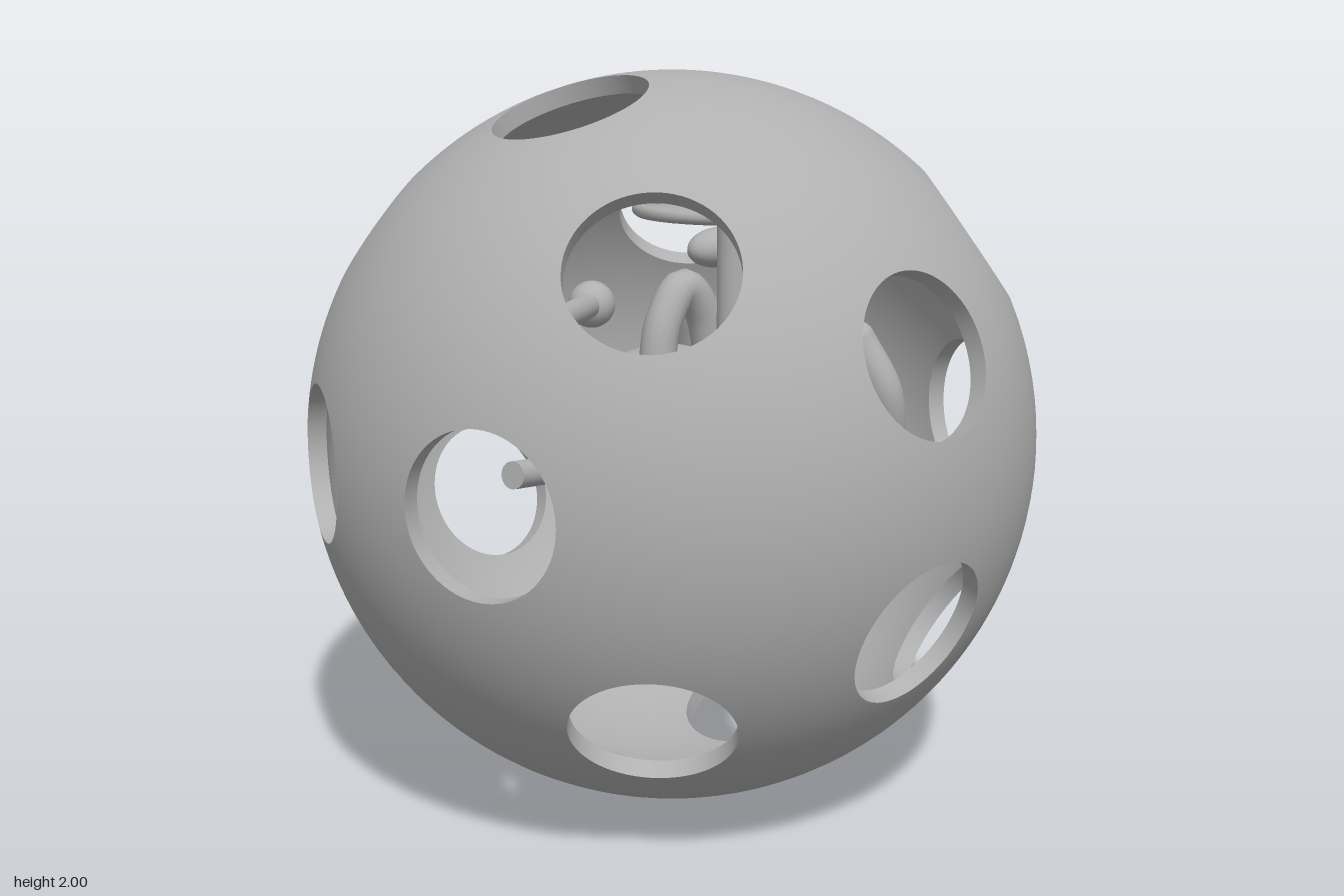
import * as THREE from 'three';
import { mergeGeometries } from 'three/addons/utils/BufferGeometryUtils.js';

const R = 1, RI = 0.95, HOLE = 0.21, COLS = 72;
const V = (x, y, z) => new THREE.Vector3(x, y, z);
const grey = new THREE.MeshStandardMaterial({ color: 0xb0b0b0 });
grey.name = 'plain grey';

// Surface grid from a rule giving point and normal
function grid(rule, rows, flip) {
  const pos = [], nor = [], idx = [];
  for (let i = 0; i <= rows; i++) for (let j = 0; j <= COLS; j++) {
    const [p, n] = rule(i / rows, (j / COLS) * Math.PI * 2);
    pos.push(p.x, p.y, p.z);
    nor.push(n.x, n.y, n.z);
    if (i === rows || j === COLS) continue;
    const a = i * (COLS + 1) + j, b = a + COLS + 1;
    if (flip) idx.push(a, b + 1, b, a, a + 1, b + 1);
    else idx.push(a, b, b + 1, a, b + 1, a + 1);
  }
  const g = new THREE.BufferGeometry();
  g.setAttribute('position', new THREE.Float32BufferAttribute(pos, 3));
  g.setAttribute('normal', new THREE.Float32BufferAttribute(nor, 3));
  g.setIndex(idx);
  return g;
}

// Hollow ball: 20 spherical triangles, each with a round hole in its middle
function shellGeometry() {
  const phi = (1 + Math.sqrt(5)) / 2, s = [-1, 1], holes = [], corners = [];
  for (const a of s) for (const b of s) {
    holes.push(V(0, a / phi, b * phi), V(a / phi, b * phi, 0), V(a * phi, 0, b / phi));
    corners.push(V(a, 0, b * phi), V(0, a * phi, b), V(a * phi, b, 0));
    for (const c of s) holes.push(V(a, b, c));
  }
  const parts = [];
  const rOut = HOLE / Math.sqrt(R * R - HOLE * HOLE);
  const rIn = HOLE / Math.sqrt(RI * RI - HOLE * HOLE);
  const third = (Math.PI * 2) / 3;
  for (const h of holes) {
    const n = h.clone().normalize();
    const near = corners.slice().sort((p, q) => q.dot(n) - p.dot(n))[0];
    const u = near.clone().addScaledVector(n, -near.dot(n)).normalize();
    const v = n.clone().cross(u);
    const side = (t) => u.clone().multiplyScalar(Math.cos(t)).addScaledVector(v, Math.sin(t));
    const dir = (rho, t) => n.clone().addScaledVector(side(t), rho).normalize();
    const edge = (t) => 0.381966 / Math.cos((t % third) - third / 2);
    const skin = (radius, start) => (k, t) => {
      const d = dir(start + (edge(t) - start) * k, t);
      return [d.clone().multiplyScalar(radius), d];
    };
    parts.push(grid(skin(R, rOut), 6, false), grid(skin(RI, rIn), 6, true));
    parts.push(grid((k, t) => [
      dir(rIn, t).multiplyScalar(RI).lerp(dir(rOut, t).multiplyScalar(R), k),
      side(t).negate(),
    ], 1, false));
  }
  return mergeGeometries(parts);
}

export function createModel() {
  const model = new THREE.Group();
  const inside = new THREE.Group();
  inside.name = 'innerParts';
  inside.position.y = 1;
  model.add(inside);

  const add = (name, geo, parent = inside) => {
    const m = new THREE.Mesh(geo, grey);
    m.name = name;
    parent.add(m);
    return m;
  };
  const ball = (name, p, r) => {
    const m = add(name, new THREE.SphereGeometry(r, 24, 16));
    m.position.set(...p);
    return m;
  };
  const rod = (name, a, b, r) => {
    const p = V(...a), q = V(...b), d = q.clone().sub(p);
    const m = add(name, new THREE.CylinderGeometry(r, r, d.length(), 20));
    m.position.copy(p).add(q).multiplyScalar(0.5);
    m.quaternion.setFromUnitVectors(V(0, 1, 0), d.normalize());
  };

  add('shell', shellGeometry()).position.y = 0;

  // Central body
  ball('core', [0, -0.05, -0.02], 0.3);

  // Ringed disc near the top
  const disc = new THREE.Group();
  disc.name = 'ringedDisc';
  disc.position.set(0, 0.65, 0.26);
  inside.add(disc);
  for (let i = 0; i < 8; i++) {
    add('discRing', new THREE.TorusGeometry(0.05 + i * 0.03, 0.018, 10, 48), disc).rotation.x = Math.PI / 2;
  }

  // Winding tubes
  const tubes = [
    [[0.25, 0.3, 0.46], [0.3, 0.15, 0.52], [0.36, -0.05, 0.46], [0.38, -0.13, 0.33], [0.36, -0.17, 0.15]],
    [[-0.2, 0, 0.4], [-0.12, -0.18, 0.38], [-0.05, -0.35, 0.3], [0.08, -0.5, 0.2], [0.25, -0.58, 0.05]],
    [[0.25, 0.3, -0.28], [0.33, 0.15, -0.33], [0.38, 0, -0.32], [0.33, -0.18, -0.42], [0.15, -0.3, -0.45]],
    [[-0.15, 0.15, 0.1], [-0.12, 0.34, 0.1], [-0.05, 0.43, 0.1], [0.02, 0.36, 0.1], [0.07, 0.15, 0.1]],
    [[-0.26, 0.25, -0.25], [-0.34, 0.28, -0.08], [-0.36, 0.25, 0.03], [-0.31, 0.18, 0.22]],
  ];
  for (const pts of tubes) {
    const path = new THREE.CatmullRomCurve3(pts.map((p) => V(...p)));
    add('windingTube', new THREE.TubeGeometry(path, 40, 0.05, 16));
    for (const e of [pts[0], pts[pts.length - 1]]) ball('tubeEnd', e, 0.05);
  }

  // Small beads on the tubes
  for (const p of [[0.4, -0.1, 0.46], [-0.02, -0.45, 0.32], [0.4, -0.12, -0.43], [0.33, 0.1, -0.34]]) {
    ball('bead', p, 0.038);
  }

  // Knobbed pegs reaching in from the wall
  const pegs = [
    [[-0.45, 0.53, -0.15], [-0.59, 0.73, -0.15]],
    [[-0.3, 0.4, 0.02], [-0.75, 0.42, 0.36]],
    [[-0.45, 0.05, 0.29], [-0.85, 0.1, 0.4]],
    [[-0.58, -0.44, -0.1], [-0.76, -0.56, -0.1]],
    [[0.58, -0.43, 0.03], [0.76, -0.56, 0.03]],
    [[0.5, 0.42, 0.05], [0.3, 0.42, 0]],
  ];
  for (const [a, b] of pegs) {
    ball('pegKnob', a, 0.062);
    rod('peg', a, b, 0.033);
  }

  // Straight rods
  rod('uprightRod', [0.05, 0.18, 0.2], [0.05, 0.6, 0.2], 0.05);
  rod('crossRod', [0.25, -0.61, -0.1], [0.66, -0.61, -0.1], 0.04);
  rod('shortRod', [0.6, 0.42, -0.46], [0.72, 0.5, -0.35], 0.03);

  // Smooth oval bodies
  const ovals = [
    [0.62, 0.43, -0.48, 0.2], [-0.42, 0.3, -0.12, -0.6], [-0.62, 0.43, -0.05, 0.3],
    [0.58, -0.43, 0.15, 0.3], [-0.15, 0.2, 0.3, -0.5],
  ];
  for (const [x, y, z, turn] of ovals) {
    const m = ball('ovalBody', [x, y, z], 0.07);
    m.scale.set(1.5, 0.9, 1);
    m.rotation.set(0, -turn, turn * 0.5);
  }
  return model;
}
